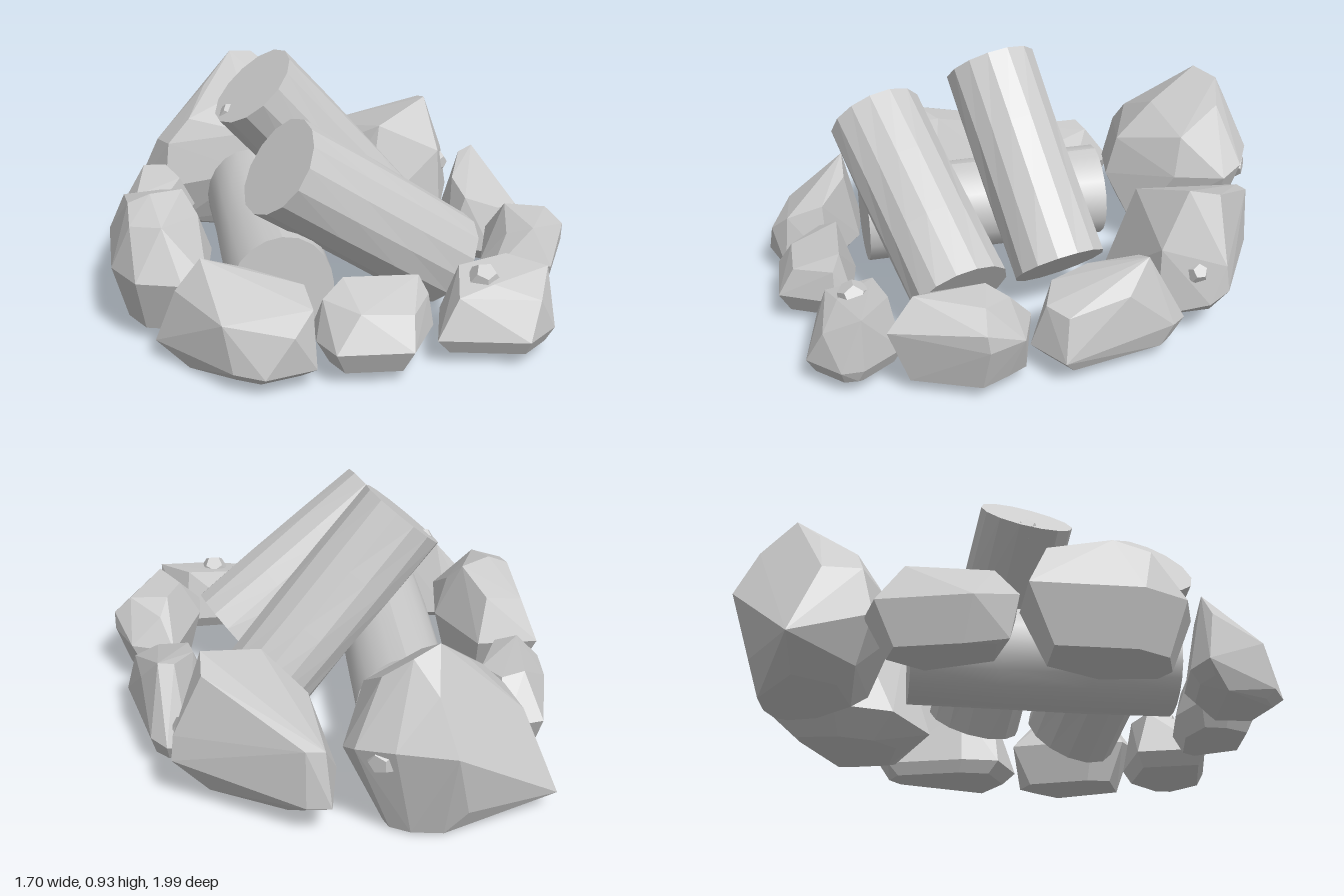
import * as THREE from 'three';
import { ConvexGeometry } from 'three/addons/geometries/ConvexGeometry.js';

const stone = new THREE.MeshStandardMaterial({ color: 0xcccccc, flatShading: true });
const wood = new THREE.MeshStandardMaterial({ color: 0xcccccc, flatShading: true });
const smoothWood = new THREE.MeshStandardMaterial({ color: 0xcccccc });
const v = (x, y, z) => new THREE.Vector3(x, y, z);

// Faceted stone: plan outline [x, z, own height?] at belly height,
// the same outline drawn in at the floor, and crest points [x, y, z].
function rock(name, floor, belly, inset, outline, crest) {
  const cx = outline.reduce((s, p) => s + p[0], 0) / outline.length;
  const cz = outline.reduce((s, p) => s + p[1], 0) / outline.length;
  const pts = crest.map((p) => v(...p));
  for (const [x, z, y = belly] of outline) {
    pts.push(v(x, y, z));
    pts.push(v(cx + (x - cx) * inset, floor, cz + (z - cz) * inset));
  }
  const mesh = new THREE.Mesh(new ConvexGeometry(pts), stone);
  mesh.name = name;
  return mesh;
}

// Small faceted lump on a stone or log
function lump(name, x, y, z, r) {
  const mesh = new THREE.Mesh(new THREE.DodecahedronGeometry(r), stone);
  mesh.position.set(x, y, z);
  mesh.name = name;
  return mesh;
}

// Log between two end centres, slightly irregular around its girth
function log(name, a, b, r, sides, material) {
  const axis = b.clone().sub(a);
  const geo = new THREE.CylinderGeometry(r, r, axis.length(), sides, 3);
  const pos = geo.attributes.position;
  for (let i = 0; i < pos.count; i++) {
    const x = pos.getX(i), y = pos.getY(i), z = pos.getZ(i);
    const k = 1 + 0.02 * Math.sin(3 * Math.atan2(z, x) + y * 5);
    pos.setXYZ(i, x * k, y, z * k);
  }
  geo.computeVertexNormals();
  const mesh = new THREE.Mesh(geo, material);
  mesh.position.copy(a).add(b).multiplyScalar(0.5);
  mesh.quaternion.setFromUnitVectors(v(0, 1, 0), axis.normalize());
  mesh.name = name;
  return mesh;
}

export function createModel() {
  const group = new THREE.Group();
  group.name = 'campfire';

  // Logs: one lying flat, two leaning across it
  group.add(
    log('lyingLog', v(-0.26, 0.23, 0.61), v(-0.26, 0.23, -0.36), 0.185, 20, smoothWood),
    log('backLeaningLog', v(-0.295, 0.81, 0.07), v(0.25, 0.18, -0.07), 0.18, 14, wood),
    log('frontLeaningLog', v(-0.26, 0.65, 0.54), v(0.38, 0.19, 0.34), 0.185, 14, wood),
    lump('logKnot', -0.38, 0.7, 0.06, 0.045),
  );

  // Ring of stones
  group.add(
    rock('backRightStone', 0.01, 0.33, 0.55,
      [[-0.75, -0.78, 0.08], [-0.34, -1.0, 0.4], [-0.13, -0.97, 0.42], [0.0, -0.9, 0.4], [0.03, -0.82, 0.36],
        [-0.03, -0.63, 0.36], [-0.26, -0.41, 0.3], [-0.61, -0.5, 0.22], [-0.63, -0.68, 0.38]],
      [[-0.3, 0.73, -0.79], [-0.2, 0.71, -0.85], [-0.42, 0.61, -0.7], [-0.27, 0.6, -0.6], [-0.1, 0.63, -0.82],
        [-0.28, 0.6, -0.92], [-0.5, 0.5, -0.56], [-0.59, 0.4, -0.54], [-0.06, 0.52, -0.66], [-0.25, 0.46, -0.45],
        [-0.4, 0.12, -0.92], [-0.2, 0.1, -0.86], [-0.55, 0.05, -0.55], [-0.15, 0.1, -0.5]]),
    lump('backRightStoneLump', -0.1, 0.36, -0.9, 0.06),

    rock('backLeftStone', 0.05, 0.14, 0.6,
      [[0.07, -0.88], [0.16, -0.87], [0.62, -0.62, 0.2], [0.62, -0.55, 0.15], [0.55, -0.37, 0.09],
        [0.21, -0.25, 0.1], [0.08, -0.4], [0.03, -0.63]],
      [[0.5, 0.57, -0.49], [0.5, 0.54, -0.61], [0.28, 0.49, -0.36], [0.09, 0.36, -0.85], [0.16, 0.37, -0.86],
        [0.12, 0.38, -0.5], [0.54, 0.36, -0.38], [0.61, 0.3, -0.61], [0.45, 0.05, -0.4]]),
    lump('backLeftStoneLump', 0.57, 0.27, -0.51, 0.045),

    rock('rightBackStone', 0.04, 0.2, 0.7,
      [[-0.85, -0.03], [-0.84, -0.18], [-0.76, -0.5], [-0.61, -0.53], [-0.5, -0.34], [-0.65, -0.02]],
      [[-0.74, 0.34, -0.1], [-0.7, 0.36, -0.4], [-0.61, 0.35, -0.42], [-0.56, 0.33, -0.3], [-0.66, 0.3, -0.06],
        [-0.83, 0.05, -0.06]]),

    rock('rightFrontStone', 0.05, 0.25, 0.72,
      [[-0.85, 0.0], [-0.61, 0.0], [-0.53, 0.2], [-0.48, 0.27], [-0.52, 0.55], [-0.61, 0.6], [-0.77, 0.55],
        [-0.85, 0.39]],
      [[-0.78, 0.46, 0.3], [-0.7, 0.49, 0.3], [-0.58, 0.48, 0.24], [-0.53, 0.4, 0.3], [-0.65, 0.42, 0.07],
        [-0.79, 0.41, 0.07], [-0.67, 0.43, 0.49], [-0.78, 0.42, 0.43]]),

    rock('frontRightStone', 0.035, 0.07, 0.78,
      [[-0.71, 0.63], [-0.6, 0.59], [-0.39, 0.62], [-0.18, 0.77], [-0.19, 0.94], [-0.37, 0.99], [-0.47, 0.93]],
      [[-0.64, 0.27, 0.67], [-0.55, 0.38, 0.66], [-0.4, 0.34, 0.67], [-0.21, 0.31, 0.78], [-0.2, 0.28, 0.92],
        [-0.5, 0.23, 0.89], [-0.27, 0.21, 0.98], [-0.6, 0, 0.72], [-0.5, 0.01, 0.75]]),

    rock('frontStone', 0.045, 0.13, 0.75,
      [[-0.18, 0.74], [-0.02, 0.68], [0.2, 0.72], [0.24, 0.79], [0.13, 0.99], [-0.13, 0.97], [-0.18, 0.85]],
      [[-0.07, 0.31, 0.74], [0.19, 0.31, 0.76], [-0.15, 0.26, 0.8], [-0.04, 0.25, 0.92], [0.14, 0.24, 0.93],
        [0.22, 0.25, 0.79]]),

    rock('frontLeftStone', 0.045, 0.1, 0.82,
      [[0.24, 0.86], [0.31, 0.6], [0.56, 0.59], [0.67, 0.74], [0.67, 0.82], [0.55, 0.93]],
      [[0.32, 0.24, 0.83], [0.36, 0.29, 0.66], [0.54, 0.31, 0.63], [0.66, 0.3, 0.74], [0.6, 0.23, 0.87],
        [0.45, 0.27, 0.8], [0.65, 0.05, 0.76]]),
    lump('frontLeftStoneLump', 0.43, 0.265, 0.74, 0.06),

    rock('leftFrontStone', 0.05, 0.21, 0.72,
      [[0.61, 0.13], [0.78, 0.19], [0.85, 0.33, 0.22], [0.7, 0.66, 0.26], [0.5, 0.58], [0.5, 0.45]],
      [[0.66, 0.37, 0.56], [0.78, 0.36, 0.33], [0.63, 0.37, 0.3], [0.85, 0.29, 0.34], [0.58, 0.33, 0.5],
        [0.66, 0.32, 0.22], [0.7, 0.05, 0.17]]),

    rock('leftBackStone', 0.05, 0.1, 0.82,
      [[0.56, -0.4], [0.64, -0.44, 0.13], [0.7, -0.38, 0.14], [0.8, 0.05], [0.64, 0.14], [0.48, 0.05], [0.48, -0.1]],
      [[0.66, 0.41, -0.29], [0.6, 0.39, -0.27], [0.67, 0.27, 0.09], [0.55, 0.3, 0.04], [0.76, 0.26, 0.03],
        [0.53, 0.34, -0.1], [0.73, 0.3, -0.2]]),
  );
  return group;
}
